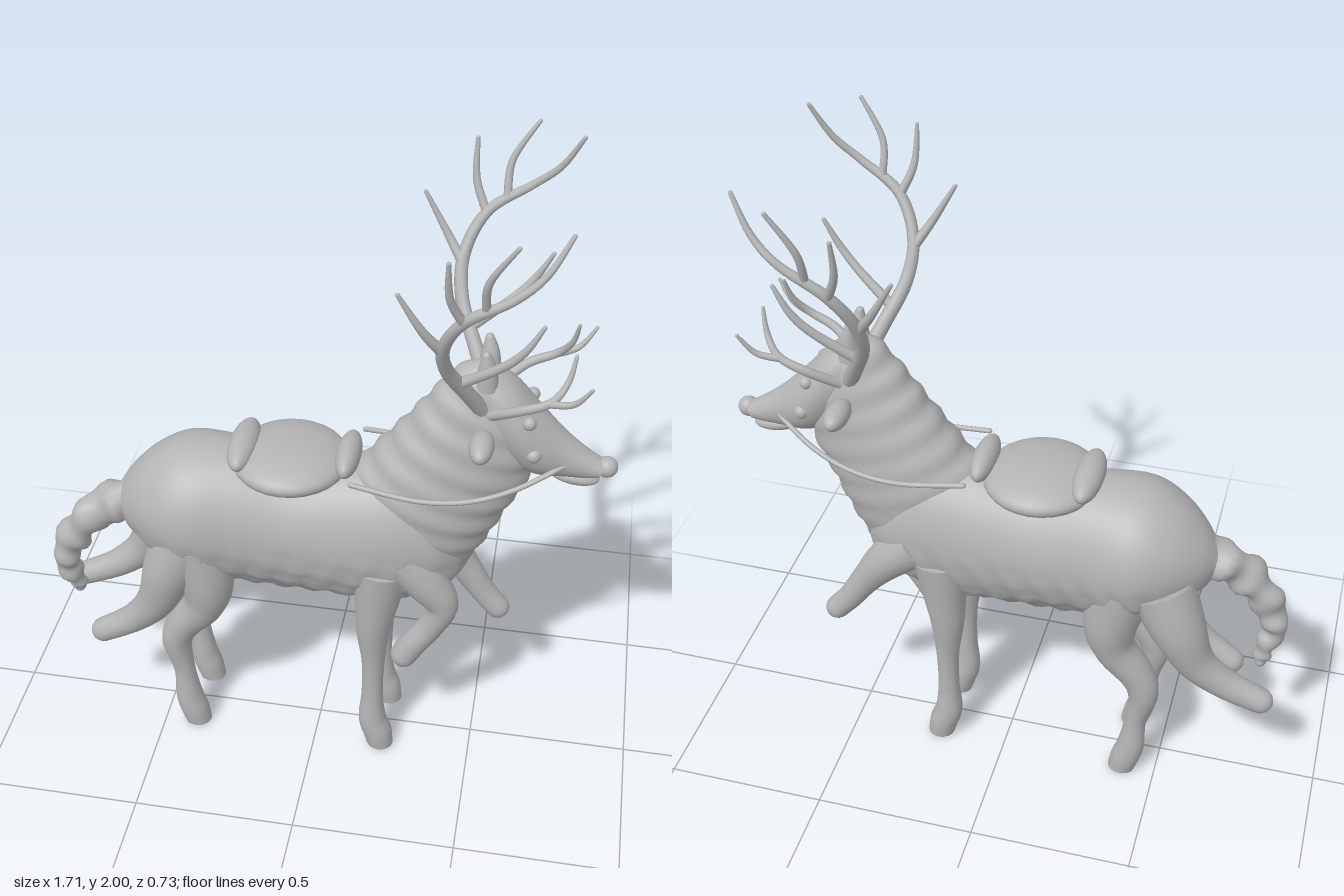
import * as THREE from 'three';

const V = (x, y, z = 0) => new THREE.Vector3(x, y, z);
const Z = V(0, 0, 1);
const grey = new THREE.MeshStandardMaterial({ color: 0xb4b4b4 });
grey.name = 'carved grey';

// Smoothly resample rows of numbers (Catmull-Rom on every column)
function resample(rows, steps) {
  const out = [], last = rows.length - 1;
  const row = (i) => rows[Math.min(Math.max(i, 0), last)];
  for (let i = 0; i < last; i++) {
    for (let s = 0; s < steps || (i === last - 1 && s === steps); s++) {
      const t = s / steps;
      out.push(rows[i].map((b, k) => {
        const a = row(i - 1)[k], c = row(i + 1)[k], d = row(i + 2)[k];
        return b + 0.5 * t * (c - a + t * (2 * a - 5 * b + 4 * c - d + t * (3 * (b - c) + d - a)));
      }));
    }
  }
  return out;
}

// Skin over closed rings that turn counter-clockwise about the travel direction
function skin(rings) {
  const n = rings[0].length, pos = [], idx = [];
  rings.forEach((r) => r.forEach((p) => pos.push(p.x, p.y, p.z)));
  for (let i = 0; i < rings.length - 1; i++) {
    for (let j = 0; j < n; j++) {
      const a = i * n + j, b = i * n + (j + 1) % n;
      idx.push(a, b, b + n, a, b + n, a + n);
    }
  }
  [0, rings.length - 1].forEach((e) => {
    const c = V(0, 0, 0), m = pos.length / 3;
    rings[e].forEach((p) => c.addScaledVector(p, 1 / n));
    pos.push(c.x, c.y, c.z);
    // separate cap vertices keep the flat ends crisp
    rings[e].forEach((p) => pos.push(p.x, p.y, p.z));
    for (let j = 0; j < n; j++) {
      const a = m + 1 + j, b = m + 1 + (j + 1) % n;
      if (e === 0) idx.push(m, b, a); else idx.push(m, a, b);
    }
  });
  const g = new THREE.BufferGeometry();
  g.setAttribute('position', new THREE.Float32BufferAttribute(pos, 3));
  g.setIndex(idx);
  g.computeVertexNormals();
  return g;
}

// Rows: top x, top y, bottom x, bottom y, half width
function trunk(rows, bump = () => 0) {
  return skin(resample(rows, 8).map(([xt, yt, xb, yb, w]) => {
    const c = V((xt + xb) / 2, (yt + yb) / 2), h = V((xt - xb) / 2, (yt - yb) / 2);
    return Array.from({ length: 48 }, (_, j) => {
      const a = j / 48 * Math.PI * 2;
      const off = h.clone().multiplyScalar(Math.cos(a)).add(V(0, 0, w * Math.sin(a)));
      const p = c.clone().add(off);
      return p.addScaledVector(off, bump(p));
    });
  }));
}

// Rows: x, y, z, radius; the far end is rounded unless flat
function limb(rows, { sides = 16, steps = 6, flat = false, twist = 0 } = {}) {
  const pts = resample(rows, steps), rings = [];
  const ring = (c, t, r, k = 0) => {
    const u = t.clone().cross(Z).normalize(), v = t.clone().cross(u);
    rings.push(Array.from({ length: sides }, (_, j) => {
      const a = j / sides * Math.PI * 2;
      const q = r * (1 + twist * Math.sin(2 * a + k * 0.6) + twist * Math.sin(k * 0.9));
      return c.clone().addScaledVector(u, q * Math.cos(a)).addScaledVector(v, q * Math.sin(a));
    }));
  };
  let t;
  pts.forEach(([x, y, z, r], i) => {
    const a = pts[Math.max(i - 1, 0)], b = pts[Math.min(i + 1, pts.length - 1)];
    t = V(b[0] - a[0], b[1] - a[1], b[2] - a[2]).normalize();
    if (flat && i === pts.length - 1) t = V(0, -1, 0);
    ring(V(x, y, z), t, r, i);
  });
  if (!flat) {
    const [x, y, z, r] = pts[pts.length - 1];
    [0.35, 0.7, 0.95].forEach((s) =>
      ring(V(x, y, z).addScaledVector(t, r * s), t, r * Math.sqrt(1 - s * s), pts.length - 1));
  }
  return skin(rings);
}

export function createModel() {
  const model = new THREE.Group();
  const add = (name, geo) => {
    const m = new THREE.Mesh(geo, grey);
    m.name = name;
    model.add(m);
    return m;
  };
  const blob = (name, x, y, z, rx, ry = rx, rz = rx) => {
    const m = add(name, new THREE.SphereGeometry(1, 28, 20));
    m.position.set(x, y, z);
    m.scale.set(rx, ry, rz);
    return m;
  };

  // Barrel of the body, with shaggy fur below the flank line
  const fur = (p) => 0.04 * Math.sin(42 * p.x + 30 * p.y) * Math.sin(60 * p.y - 25 * p.x)
    * THREE.MathUtils.smoothstep(0.82 - p.y, 0, 0.06);
  add('body', trunk([
    [-0.63, 0.86, -0.63, 0.8, 0.03], [-0.58, 0.94, -0.59, 0.74, 0.1],
    [-0.5, 1.015, -0.5, 0.67, 0.17], [-0.4, 1.06, -0.38, 0.61, 0.208],
    [-0.25, 1.06, -0.22, 0.59, 0.188], [-0.08, 1.03, -0.05, 0.58, 0.178],
    [0.1, 1.05, 0.12, 0.57, 0.175], [0.24, 1.06, 0.28, 0.59, 0.165],
    [0.34, 1.0, 0.4, 0.65, 0.13], [0.41, 0.9, 0.45, 0.72, 0.07],
  ], fur));

  // Neck with rippled mane and throat
  add('neck', trunk([
    [0.04, 0.98, 0.4, 0.64, 0.12], [0.14, 1.09, 0.49, 0.81, 0.14],
    [0.25, 1.23, 0.555, 0.95, 0.125], [0.33, 1.34, 0.61, 1.07, 0.105],
    [0.4, 1.42, 0.61, 1.15, 0.09], [0.46, 1.45, 0.57, 1.27, 0.06],
  ], (p) => 0.025 * Math.sin(70 * p.y + 25 * p.x + 12 * Math.abs(p.z))));

  // Head
  add('head', trunk([
    [0.4, 1.39, 0.48, 1.17, 0.06], [0.46, 1.43, 0.57, 1.11, 0.088],
    [0.54, 1.39, 0.62, 1.09, 0.098], [0.62, 1.305, 0.665, 1.085, 0.083],
    [0.7, 1.225, 0.705, 1.085, 0.06], [0.77, 1.17, 0.755, 1.085, 0.045],
    [0.82, 1.14, 0.8, 1.09, 0.035],
  ]));
  blob('lowerJaw', 0.735, 1.085, 0, 0.075, 0.026, 0.038).rotation.z = -0.15;
  blob('nose', 0.825, 1.122, 0, 0.031);

  // Saddle seat with raised ends
  blob('saddleSeat', -0.09, 1.035, 0, 0.175, 0.06, 0.18);
  blob('saddleBack', -0.23, 1.065, 0, 0.045, 0.045, 0.125);
  blob('saddleFront', 0.083, 1.07, 0, 0.037, 0.045, 0.108);

  // Ropy tail
  add('tail', limb([
    [-0.54, 0.86, 0, 0.06], [-0.63, 0.82, 0.02, 0.062], [-0.72, 0.755, 0.04, 0.055],
    [-0.785, 0.66, 0.045, 0.048], [-0.81, 0.57, 0.045, 0.04], [-0.79, 0.49, 0.03, 0.03],
    [-0.785, 0.445, 0.02, 0.02],
  ], { steps: 8, twist: 0.12 }));

  // Raised legs, each in its own pose
  add('leftRaisedForeleg', limb([
    [0.27, 0.78, 0.09, 0.08], [0.34, 0.7, 0.1, 0.065], [0.39, 0.62, 0.1, 0.05],
    [0.36, 0.53, 0.1, 0.042], [0.31, 0.45, 0.1, 0.042], [0.28, 0.395, 0.1, 0.042],
  ]));
  add('rightRaisedForeleg', limb([
    [0.28, 0.78, -0.09, 0.08], [0.37, 0.7, -0.1, 0.065], [0.44, 0.61, -0.1, 0.048],
    [0.5, 0.52, -0.1, 0.04], [0.55, 0.46, -0.1, 0.038],
  ]));
  add('leftStretchedHindLeg', limb([
    [-0.4, 0.77, 0.1, 0.1], [-0.45, 0.65, 0.12, 0.085], [-0.5, 0.52, 0.12, 0.062],
    [-0.58, 0.42, 0.11, 0.047], [-0.69, 0.345, 0.105, 0.04],
  ]));
  add('rightStretchedHindLeg', limb([
    [-0.48, 0.78, -0.1, 0.1], [-0.54, 0.65, -0.12, 0.085], [-0.6, 0.53, -0.12, 0.06],
    [-0.69, 0.45, -0.11, 0.047], [-0.805, 0.395, -0.1, 0.04],
  ]));

  // Everything that mirrors left to right
  [1, -1].forEach((s) => {
    const side = s > 0 ? 'left' : 'right';
    const path = (rows) => rows.map(([x, y, z, r]) => [x, y, z * s, r]);

    add(side + 'StandingForeleg', limb(path([
      [0.2, 0.74, 0.09, 0.09], [0.19, 0.6, 0.1, 0.068], [0.182, 0.49, 0.105, 0.053],
      [0.185, 0.36, 0.105, 0.037], [0.185, 0.22, 0.105, 0.034], [0.187, 0.11, 0.105, 0.044],
      [0.205, 0.05, 0.105, 0.046], [0.215, 0, 0.105, 0.042],
    ]), { flat: true }));
    add(side + 'StandingHindLeg', limb(path([
      [-0.36, 0.76, 0.09, 0.11], [-0.335, 0.62, 0.11, 0.085], [-0.35, 0.52, 0.11, 0.067],
      [-0.42, 0.42, 0.105, 0.055], [-0.448, 0.34, 0.105, 0.048], [-0.43, 0.22, 0.105, 0.034],
      [-0.42, 0.11, 0.105, 0.043], [-0.405, 0.05, 0.105, 0.046], [-0.392, 0, 0.105, 0.042],
    ]), { flat: true }));

    blob(side + 'Ear', 0.475, 1.257, s * 0.155, 0.035, 0.034, 0.07);
    add(side + 'HornBud', limb(path([
      [0.47, 1.38, 0.04, 0.035], [0.47, 1.44, 0.045, 0.026], [0.465, 1.485, 0.048, 0.013],
    ])));
    blob(side + 'Eye', 0.597, 1.295, s * 0.075, 0.02);
    blob(side + 'BridleStud', 0.617, 1.195, s * 0.083, 0.022);
    add(side + 'Rein', limb(path([
      [0.71, 1.15, 0.05, 0.008], [0.58, 1.095, 0.115, 0.008], [0.45, 1.055, 0.145, 0.008],
      [0.3, 1.045, 0.155, 0.008], [0.11, 1.065, 0.14, 0.008],
    ]), { sides: 8 }));

    // Antler beam and tines
    [
      [[0.47, 1.31, 0.06, 0.024], [0.42, 1.41, 0.12, 0.022], [0.37, 1.52, 0.19, 0.02],
        [0.365, 1.63, 0.25, 0.018], [0.42, 1.74, 0.3, 0.016], [0.535, 1.82, 0.315, 0.012],
        [0.61, 1.89, 0.3, 0.01], [0.665, 1.99, 0.275, 0.006]],
      [[0.47, 1.785, 0.31, 0.012], [0.475, 1.88, 0.34, 0.01], [0.54, 1.99, 0.36, 0.006]],
      [[0.415, 1.735, 0.3, 0.013], [0.38, 1.82, 0.33, 0.011], [0.375, 1.93, 0.355, 0.006]],
      [[0.365, 1.6, 0.235, 0.016], [0.31, 1.68, 0.27, 0.012], [0.245, 1.79, 0.285, 0.006]],
      [[0.4, 1.45, 0.145, 0.016], [0.51, 1.535, 0.18, 0.013], [0.57, 1.6, 0.195, 0.011],
        [0.615, 1.68, 0.195, 0.006]],
      [[0.49, 1.31, 0.075, 0.016], [0.57, 1.365, 0.12, 0.014], [0.65, 1.405, 0.125, 0.012],
        [0.69, 1.46, 0.1, 0.009], [0.705, 1.53, 0.078, 0.005]],
      [[0.64, 1.4, 0.125, 0.011], [0.71, 1.42, 0.145, 0.009], [0.755, 1.48, 0.16, 0.005]],
    ].forEach((rows, i) => add(side + (i ? 'AntlerTine' + i : 'AntlerBeam'),
      limb(path(rows), { sides: 10 })));
  });

  return model;
}
